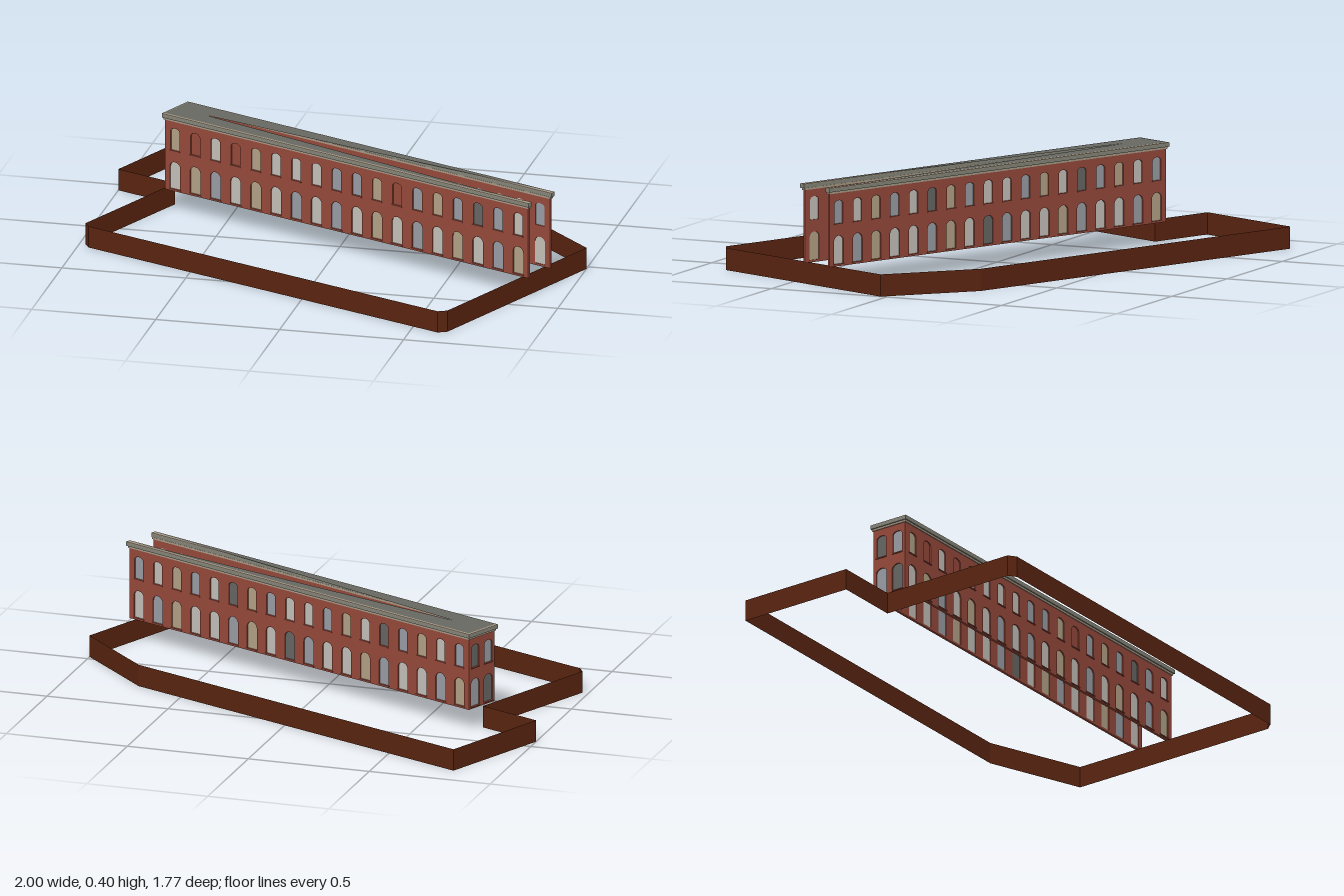
import * as THREE from 'three';

const mat = (name, color, side = THREE.FrontSide) => {
  const m = new THREE.MeshStandardMaterial({ color, side });
  m.name = name;
  return m;
};

export function createModel() {
  const brick = mat('brick', 0x96493a);
  const earth = mat('dark brown base', 0x5a2410, THREE.DoubleSide);
  const roofGrey = mat('roof grey', 0x686862, THREE.DoubleSide);
  const stone = mat('cornice stone', 0xa89a86);
  const trim = mat('cornice edge grey', 0x85857a);
  const panes = {
    L: mat('pale pane', 0xc4c0ba),
    G: mat('blue grey pane', 0x999da4),
    T: mat('tan pane', 0xb3a186),
    D: mat('dark pane', 0x666664),
    B: brick,
  };

  const model = new THREE.Group();
  model.name = 'longBuilding';
  const add = (parent, name, geo, material, x = 0, y = 0, z = 0) => {
    const m = new THREE.Mesh(geo, material);
    m.name = name;
    m.position.set(x, y, z);
    parent.add(m);
    return m;
  };

  // Base: a closed loop of upright sheets
  const H = 0.088;
  const plan = [
    [-0.955, 0.243], [0.61, 0.886], [0.645, 0.868], [1, 0.025], [0.70, -0.265],
    [-0.81, -0.886], [-1, -0.435], [-0.745, -0.33], [-0.975, 0.21],
  ];
  const base = new THREE.Group();
  base.name = 'baseSkirt';
  model.add(base);
  plan.forEach(([x, z], i) => {
    const [x2, z2] = plan[(i + 1) % plan.length];
    const side = add(base, 'skirtSide', new THREE.PlaneGeometry(Math.hypot(x2 - x, z2 - z), H),
      earth, (x + x2) / 2, H / 2, (z + z2) / 2);
    side.rotation.y = -Math.atan2(z2 - z, x2 - x);
  });

  // Building frame: x runs along the long walls
  const building = new THREE.Group();
  building.name = 'building';
  building.position.set(0.0775, 0, 0.016);
  building.rotation.y = -0.395;
  model.add(building);

  const L = 1.785, W = 0.172, inset = 0.009, thick = 0.01;
  const wallBottom = 0.088, wallTop = 0.385;

  // Arched opening outline
  const arch = (Type, cx, y0, w, h, rise) => {
    const s = new Type(), r = w / 2, spring = y0 + h - rise;
    s.moveTo(cx - r, y0);
    s.lineTo(cx + r, y0);
    s.lineTo(cx + r, spring);
    s.absellipse(cx, spring, r, rise, 0, Math.PI, false);
    s.lineTo(cx - r, y0);
    return s;
  };
  const rows = [
    { y: 0.257, w: 0.044, h: 0.092, rise: 0.014 },
    { y: 0.097, w: 0.05, h: 0.112, rise: 0.022 },
  ];

  // Pierced wall with panes, sills and cornice, facing +z
  const facade = (name, len, bays, colours, x, z, turn) => {
    const g = new THREE.Group();
    g.name = name;
    g.position.set(x, 0, z);
    g.rotation.y = turn;
    building.add(g);
    const wall = new THREE.Shape();
    wall.moveTo(-len / 2, wallBottom);
    wall.lineTo(len / 2, wallBottom);
    wall.lineTo(len / 2, wallTop);
    wall.lineTo(-len / 2, wallTop);
    wall.closePath();
    rows.forEach(({ y, w, h, rise }, row) => {
      for (let i = 0; i < bays; i++) {
        const cx = -len / 2 + (i + 0.5) * len / bays;
        wall.holes.push(arch(THREE.Path, cx, y, w, h, rise));
        const pane = new THREE.ExtrudeGeometry(arch(THREE.Shape, cx, y, w, h, rise),
          { depth: 0.002, bevelEnabled: false, curveSegments: 8 });
        add(g, 'windowPane', pane, panes[colours[row][i]], 0, 0, -0.007);
        add(g, 'windowSill', new THREE.BoxGeometry(w + 0.006, 0.004, 0.006), brick, cx, y - 0.002, 0.001);
      }
    });
    add(g, 'brickWall', new THREE.ExtrudeGeometry(wall, { depth: thick, bevelEnabled: false, curveSegments: 8 }),
      brick, 0, 0, -thick);
    // stepped cornice
    const over = len + 2 * inset;
    add(g, 'corniceBed', new THREE.BoxGeometry(len + 0.008, 0.008, 0.018), stone, 0, 0.382, -0.005);
    add(g, 'corniceEdge', new THREE.BoxGeometry(over, 0.014, 0.022), trim, 0, 0.393, inset - 0.011);
    add(g, 'corniceTop', new THREE.BoxGeometry(over, 0.003, 0.022), stone, 0, 0.4015, inset - 0.011);
  };

  const long = L - 2 * inset, short = W - 2 * inset;
  facade('frontWall', long, 18, ['TBLBTLLLGGTBGTGDGL', 'LTGLTLGLGLTLGLTLGT'], 0, short / 2, 0);
  facade('backWall', long, 18, ['GLTGLDTGLLGTLDGTLG', 'LGTLLGTLDGLLTGLLGT'], 0, -short / 2, Math.PI);
  facade('endWall', short, 2, ['DG', 'GD'], -long / 2, 0, -Math.PI / 2);

  // Flat roof with a deep notch, tapering along both wings
  const e = 0.008, a = L / 2 - e, b = W / 2 - e;
  const notchX = -0.733, notchZ = 0.005;
  const roof = new THREE.Shape([
    [-a, -b], [a, -b], [notchX, -notchZ], [a, b], [-a, b],
  ].map(([x, y]) => new THREE.Vector2(x, y)));
  add(building, 'roof', new THREE.ShapeGeometry(roof), roofGrey, 0, 0.4045, 0).rotation.x = -Math.PI / 2;

  return model;
}
